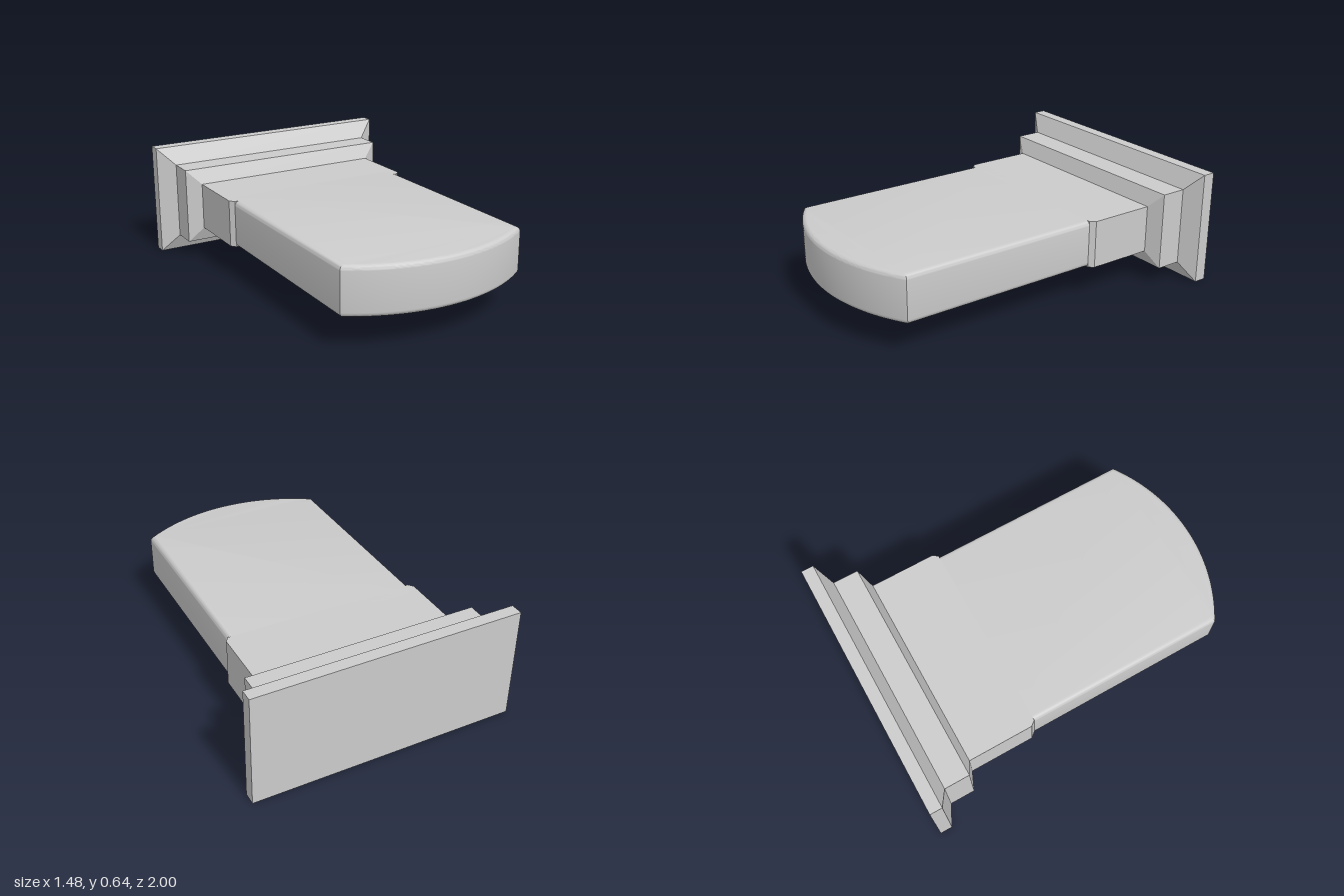
import * as THREE from 'three';
import { toCreasedNormals } from 'three/addons/utils/BufferGeometryUtils.js';

const MID_Y = 0.318; // height of the central axis

// Lofts rectangular sections [z, halfWidth, halfHeight] from back to front, capped at both ends
function loftRectangles(sections) {
  const positions = [];
  const ring = ([z, w, h]) => [[w, h, z], [-w, h, z], [-w, -h, z], [w, -h, z]];
  const quad = (a, b, c, d) => positions.push(...a, ...b, ...c, ...a, ...c, ...d);
  const rings = sections.map(ring);
  for (let i = 0; i < rings.length - 1; i++) {
    const back = rings[i], front = rings[i + 1];
    for (let j = 0; j < 4; j++) {
      const k = (j + 1) % 4;
      quad(back[j], back[k], front[k], front[j]);
    }
  }
  const [a, b, c, d] = rings[0];
  quad(d, c, b, a);
  quad(...rings[rings.length - 1]);
  const geometry = new THREE.BufferGeometry();
  geometry.setAttribute('position', new THREE.Float32BufferAttribute(positions, 3));
  geometry.computeVertexNormals();
  return geometry;
}

// Flat slab with straight sides, a bowed front and softly rounded rims
function bladeGeometry() {
  const halfWidth = 0.538, back = -0.4, shoulder = 0.835, tip = 1;
  const height = 0.266, round = 0.028;
  const sagitta = tip - shoulder;
  const radius = (halfWidth ** 2 + sagitta ** 2) / (2 * sagitta);
  const halfAngle = Math.asin(halfWidth / radius);

  const outline = new THREE.Shape();
  outline.moveTo(-halfWidth, back);
  outline.lineTo(halfWidth, back);
  outline.lineTo(halfWidth, shoulder);
  outline.absarc(0, tip - radius, radius, Math.PI / 2 - halfAngle, Math.PI / 2 + halfAngle, false);
  outline.closePath();

  const depth = height - 2 * round;
  const geometry = new THREE.ExtrudeGeometry(outline, {
    depth, curveSegments: 32,
    bevelEnabled: true, bevelSize: round, bevelThickness: round, bevelOffset: -round, bevelSegments: 6,
  });
  geometry.rotateX(Math.PI / 2);
  geometry.translate(0, MID_Y + depth / 2, 0);
  return toCreasedNormals(geometry, 0.6);
}

export function createModel() {
  const group = new THREE.Group();
  const material = new THREE.MeshStandardMaterial({ color: 0xcccccc });
  const add = (name, geometry, y = 0) => {
    const mesh = new THREE.Mesh(geometry, material);
    mesh.name = name;
    mesh.position.y = y;
    group.add(mesh);
  };

  // Back plate, stepped collar and neck with chamfered sides
  add('steppedBase', loftRectangles([
    [-1, 0.74, 0.318],
    [-0.931, 0.74, 0.318],
    [-0.876, 0.643, 0.218],
    [-0.734, 0.643, 0.218],
    [-0.695, 0.56, 0.133],
    [-0.325, 0.56, 0.133],
    [-0.297, 0.538, 0.133],
  ]), MID_Y);

  // Rounded blade reaching forward from the neck
  add('blade', bladeGeometry());

  return group;
}
